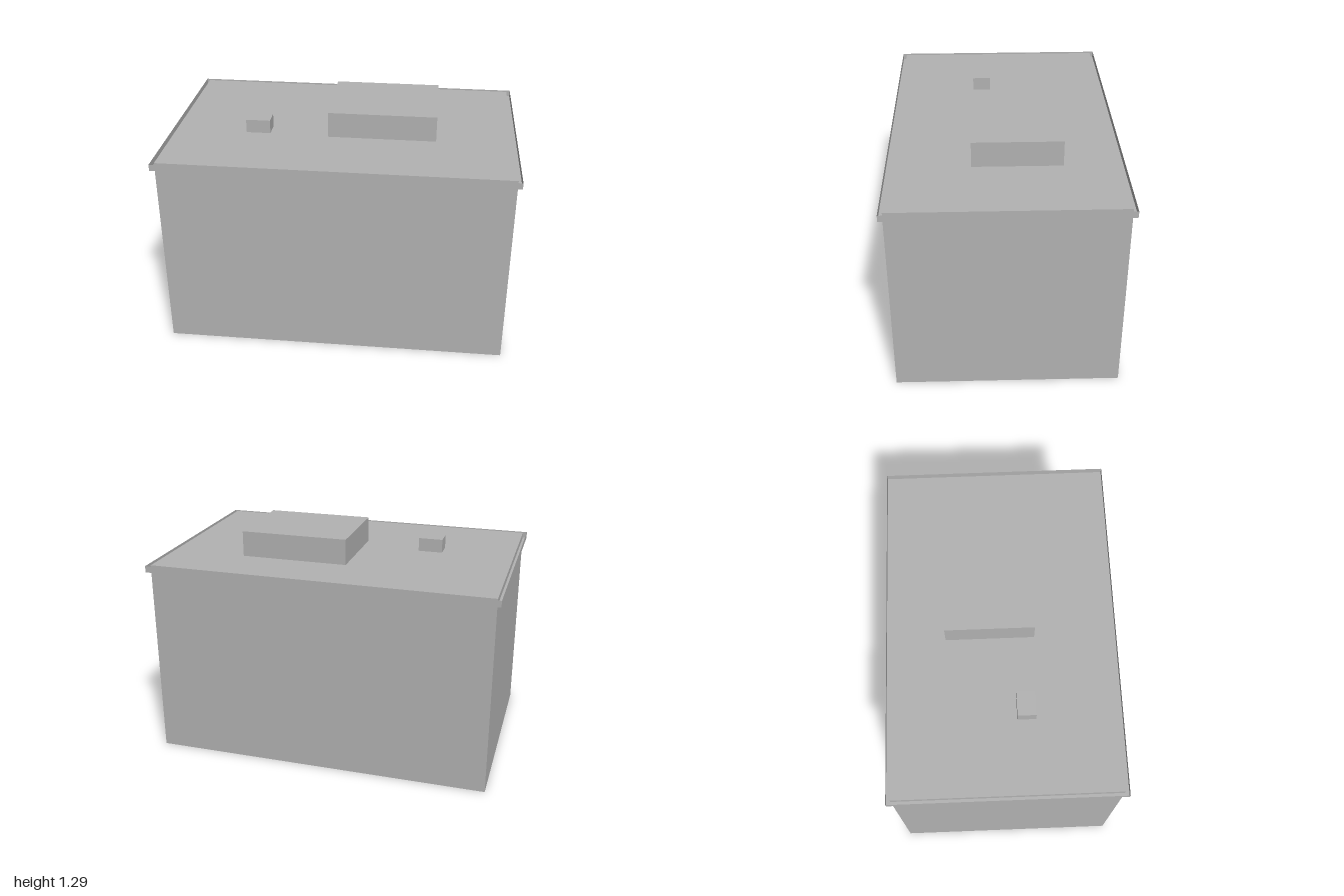
import * as THREE from 'three';

// Box without the listed faces (0 +x, 1 -x, 2 +y, 3 -y, 4 +z, 5 -z)
function openBox(w, h, d, skip) {
  const geo = new THREE.BoxGeometry(w, h, d);
  const index = Array.from(geo.index.array).filter((_, i) => !skip.includes(Math.floor(i / 6)));
  geo.setIndex(index);
  geo.clearGroups();
  return geo;
}

export function createModel() {
  const group = new THREE.Group();
  const concrete = new THREE.MeshStandardMaterial({ color: 0xb2b2b2, side: THREE.DoubleSide });
  concrete.name = 'concreteGrey';

  const add = (name, geo, x, y, z) => {
    const mesh = new THREE.Mesh(geo, concrete);
    mesh.name = name;
    mesh.position.set(x, y, z);
    group.add(mesh);
  };

  const W = 1.954, D = 1.254;            // wall footprint
  const OW = 2, OD = 1.3;                // cornice footprint
  const eave = 1.11, roof = 1.147;

  // Hollow building shell: four walls and a flat roof, open underneath
  add('wallsAndRoof', openBox(W, roof, D, [3]), 0, roof / 2, 0);

  // Cornice: upright outer band around the roof edge
  add('corniceBand', openBox(OW, roof - eave, OD, [2, 3]), 0, (eave + roof) / 2, 0);

  // Cornice: flat ledge joining the band to the walls
  const ledge = new THREE.Shape([
    new THREE.Vector2(-OW / 2, -OD / 2), new THREE.Vector2(OW / 2, -OD / 2),
    new THREE.Vector2(OW / 2, OD / 2), new THREE.Vector2(-OW / 2, OD / 2)]);
  ledge.holes.push(new THREE.Path([
    new THREE.Vector2(-W / 2, -D / 2), new THREE.Vector2(-W / 2, D / 2),
    new THREE.Vector2(W / 2, D / 2), new THREE.Vector2(W / 2, -D / 2)]));
  add('corniceLedge', new THREE.ShapeGeometry(ledge).rotateX(-Math.PI / 2), 0, eave, 0);

  // Rooftop blocks
  add('roofHousing', openBox(0.62, 0.148, 0.5, [3]), 0.23, roof + 0.074, -0.065);
  add('roofVent', openBox(0.14, 0.078, 0.104, [3]), -0.49, roof + 0.039, 0.12);

  return group;
}
